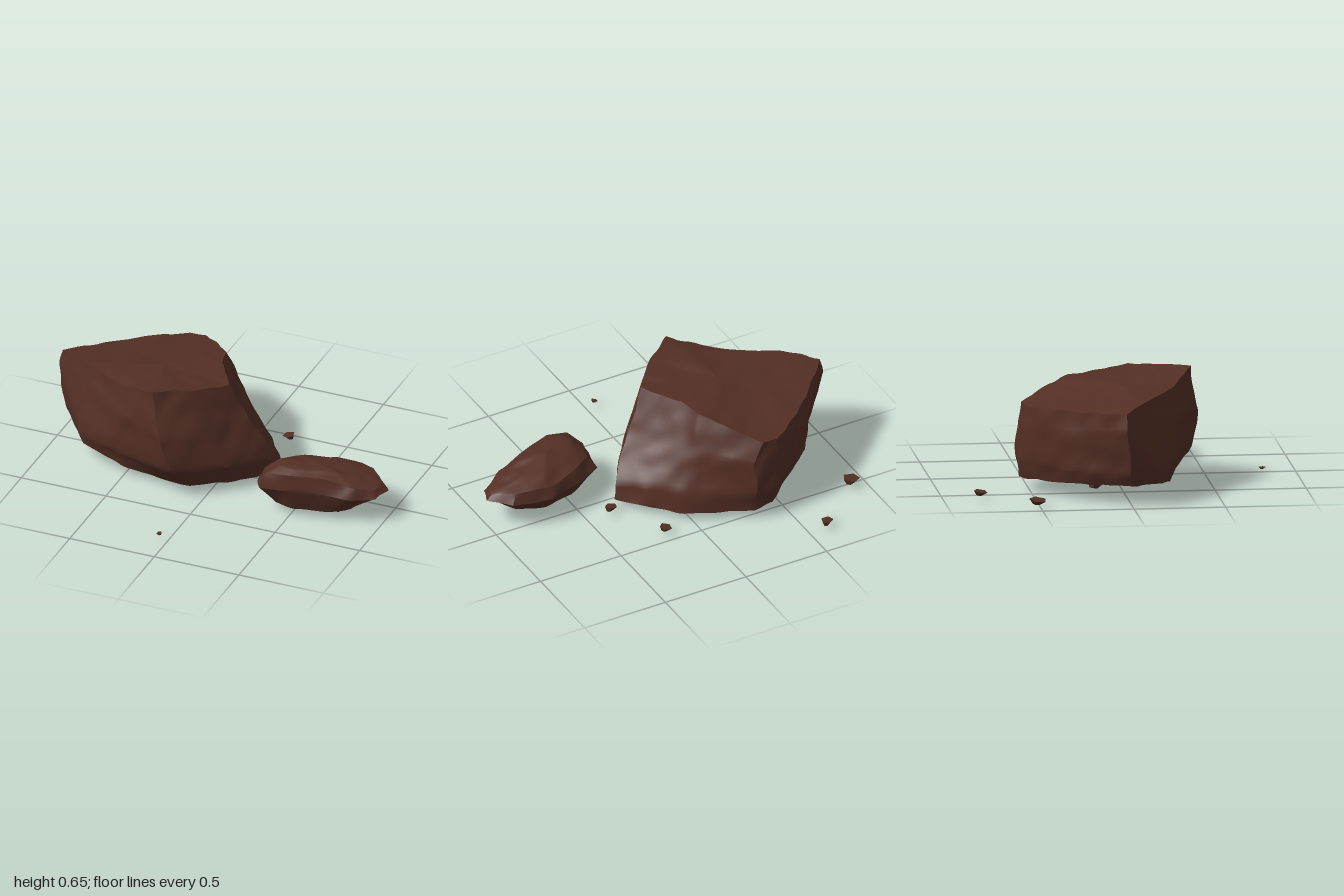
import * as THREE from 'three';
import { toCreasedNormals } from 'three/addons/utils/BufferGeometryUtils.js';

const stone = new THREE.MeshStandardMaterial({ color: 0x542f25 });
stone.name = 'dark brown stone';

// Smooth lumps plus fine weathering, as an offset that depends only on position
function weather(p, amount) {
  const { x, y, z } = p;
  const lump = (a, b, c) => Math.sin(a * 9 + 1.7 * Math.sin(b * 7 + 1)) * Math.cos(c * 8 + a * 3);
  const fine = (a, b, c) => Math.sin(a * 27 + 2 * Math.sin(b * 19)) * Math.sin(c * 23 + b * 11 + 2);
  p.x += amount * (lump(y, z, x) + 0.6 * fine(z, y, x));
  p.y += amount * (0.7 * lump(x, z, y) + 0.5 * fine(x, z, y));
  p.z += amount * (lump(x, y, z) + 0.6 * fine(y, x, z));
  return p;
}

// Skin over rings of [x, y, z] corners, listed bottom to top and closed by two centre points
function rock(name, bottom, rings, top, split, amount) {
  const n = rings[0].length;
  const levels = [Array(n).fill(bottom), ...rings, Array(n).fill(top)]
    .map(ring => ring.map(c => new THREE.Vector3(...c)));
  const cols = n * split, rows = (levels.length - 1) * split;
  const pos = [], index = [];
  for (let r = 0; r <= rows; r++) {
    const l = Math.min(Math.floor(r / split), levels.length - 2), v = r / split - l;
    for (let c = 0; c < cols; c++) {
      const k = Math.floor(c / split), u = c / split - k, k2 = (k + 1) % n;
      const low = levels[l][k].clone().lerp(levels[l][k2], u);
      const high = levels[l + 1][k].clone().lerp(levels[l + 1][k2], u);
      pos.push(...weather(low.lerp(high, v), amount).toArray());
      if (r === rows) continue;
      // One triangle per column at the two centres, two elsewhere
      const a = r * cols + c, b = r * cols + (c + 1) % cols;
      if (r > 0) index.push(a, b, b + cols);
      if (r < rows - 1) index.push(a, b + cols, a + cols);
    }
  }
  const geo = new THREE.BufferGeometry();
  geo.setAttribute('position', new THREE.Float32BufferAttribute(pos, 3));
  geo.setIndex(index);
  const mesh = new THREE.Mesh(toCreasedNormals(geo, 0.6), stone);
  mesh.name = name;
  return mesh;
}

// Corners run left, front, right, back
const boulderRings = [
  [[-.92, .115, -.01], [-.78, .1, .17], [-.47, .055, .26], [-.1, .05, .29], [.1, .045, .15], [.315, .05, -.06],
    [.2, .05, -.2], [.04, .05, -.36], [-.3, .065, -.545], [-.42, .075, -.53], [-.72, .1, -.28]],
  [[-.95, .19, -.02], [-.8, .16, .18], [-.49, .16, .3], [-.15, .18, .41], [.09, .17, .23], [.3, .13, -.05],
    [.17, .17, -.21], [.01, .18, -.36], [-.3, .18, -.565], [-.43, .18, -.555], [-.75, .18, -.305]],
  [[-1, .44, -.03], [-.78, .4, .15], [-.49, .42, .31], [-.22, .4, .44], [-.01, .4, .27], [.15, .39, .04],
    [.04, .4, -.14], [-.06, .4, -.32], [-.3, .38, -.56], [-.45, .4, -.555], [-.76, .4, -.305]],
  [[-.985, .53, -.03], [-.82, .562, .08], [-.5, .583, .27], [-.26, .65, .395], [-.08, .63, .25], [.06, .61, .09],
    [-.08, .6, -.12], [-.11, .59, -.27], [-.36, .5, -.55], [-.45, .49, -.545], [-.76, .5, -.29]],
];
const slabRings = [
  [[.36, .075, .22], [.42, .06, .28], [.53, .05, .3], [.7, .05, .26], [.82, .085, .23], [.92, .13, .18],
    [.94, .135, .11], [.85, .1, .04], [.68, .08, .02], [.5, .06, .07], [.39, .07, .13]],
  [[.3, .16, .24], [.35, .17, .345], [.49, .19, .36], [.7, .18, .305], [.86, .165, .27], [.97, .16, .2],
    [1, .17, .1], [.9, .17, -.01], [.68, .17, -.05], [.45, .17, .02], [.32, .16, .1]],
  [[.33, .235, .24], [.38, .265, .33], [.5, .28, .345], [.7, .265, .285], [.84, .23, .25], [.95, .2, .18],
    [.965, .2, .1], [.87, .235, .01], [.68, .235, -.025], [.48, .24, .04], [.37, .235, .11]],
  [[.41, .295, .22], [.44, .295, .28], [.53, .3, .29], [.66, .295, .24], [.76, .28, .21], [.84, .255, .16],
    [.84, .255, .1], [.78, .265, .06], [.68, .275, .05], [.54, .28, .1], [.44, .28, .16]],
];

// Loose chips: x, middle y, z, half width, half depth, thickness, turn
const chips = [
  [-.91, .041, -.52, .052, .048, .03, .5], [-.61, .038, -.8, .042, .034, .026, .7],
  [-.37, .03, -.14, .058, .052, .045, 2], [.19, .039, -.43, .034, .038, .024, .1],
  [.36, .039, -.12, .038, .03, .028, .2], [.74, .043, .2, .03, .025, .02, .1],
  [-.05, .037, .81, .016, .022, .01, .2],
];

export function createModel() {
  const group = new THREE.Group();
  group.add(rock('boulder', [-.3, .045, -.05], boulderRings, [-.38, .58, -.02], 8, .009));
  group.add(rock('smallSlab', [.62, .035, .18], slabRings, [.59, .31, .18], 5, .008));

  // Chips are flat, uneven flakes that narrow and lean towards the underside
  chips.forEach(([x, y, z, w, d, h, turn], i) => {
    const geo = new THREE.CylinderGeometry(1, 0.4, 1, 5).toNonIndexed();
    const p = geo.attributes.position;
    for (let k = 0; k < p.count; k++) p.setX(k, p.getX(k) - 0.25 * p.getY(k));
    geo.scale(w, h, d);
    geo.computeVertexNormals();
    const chip = new THREE.Mesh(geo, stone);
    chip.name = 'chip' + (i + 1);
    chip.position.set(x, y, z);
    chip.rotation.set(0, turn, 0.15);
    group.add(chip);
  });
  return group;
}
